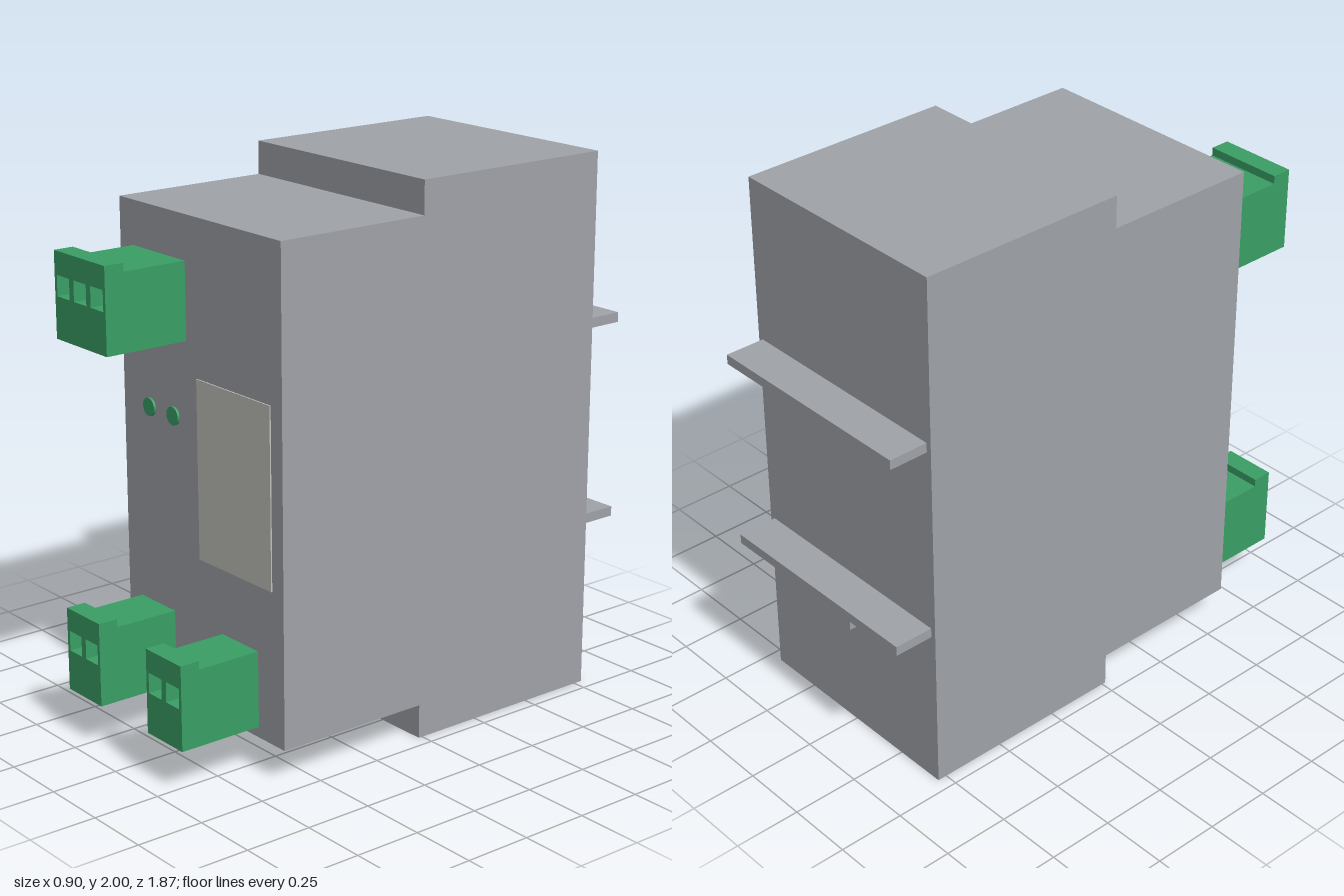
import * as THREE from 'three';

const mat = (name, color) => {
  const m = new THREE.MeshStandardMaterial({ color });
  m.name = name;
  return m;
};

export function createModel() {
  const housingGrey = mat('housing grey', 0xa0a3a8);
  const green = mat('terminal green', 0x3a9f66);
  const labelGrey = mat('label off-white', 0xc2c2bd);
  const metal = mat('screw metal', 0xa8a8a8);

  const model = new THREE.Group();
  model.name = 'dinRailModule';

  const add = (parent, name, geometry, material) => {
    const mesh = new THREE.Mesh(geometry, material);
    mesh.name = name;
    parent.add(mesh);
    return mesh;
  };
  // Box given by its minimum and maximum on each axis
  const box = (parent, name, material, [x0, x1], [y0, y1], [z0, z1]) => {
    const mesh = add(parent, name, new THREE.BoxGeometry(x1 - x0, y1 - y0, z1 - z0), material);
    mesh.position.set((x0 + x1) / 2, (y0 + y1) / 2, (z0 + z1) / 2);
    return mesh;
  };
  // Slab with a row of square holes, extruded along +z
  const slab = (w, h, depth, centres, v, half) => {
    const s = new THREE.Shape([[0, 0], [w, 0], [w, h], [0, h]].map(p => new THREE.Vector2(...p)));
    for (const u of centres) {
      s.holes.push(new THREE.Path([[-1, -1], [-1, 1], [1, 1], [1, -1]]
        .map(([a, b]) => new THREE.Vector2(u + a * half, v + b * half))));
    }
    return new THREE.ExtrudeGeometry(s, { depth, bevelEnabled: false });
  };
  // Round part facing +z
  const disc = (parent, name, material, r, depth, x, y, z) => {
    const mesh = add(parent, name, new THREE.CylinderGeometry(r, r, depth, 20).rotateX(Math.PI / 2), material);
    mesh.position.set(x, y, z + depth / 2);
  };

  // Housing: stepped side profile extruded across the width
  const side = new THREE.Shape([
    [-0.785, 0], [0.015, 0], [0.015, 0.125], [0.615, 0.125],
    [0.615, 1.88], [0.015, 1.88], [0.015, 2], [-0.785, 2],
  ].map(([z, y]) => new THREE.Vector2(-z, y)));
  const body = new THREE.ExtrudeGeometry(side, { depth: 0.9, bevelEnabled: false });
  body.translate(0, 0, -0.45).rotateY(Math.PI / 2);
  add(model, 'housing', body, housingGrey);

  // Pluggable terminal blocks with screw wells in front and wire entries below
  const terminal = (name, x, y, poles) => {
    const g = new THREE.Group();
    g.name = name;
    g.position.set(x, y, 0);
    model.add(g);
    const w = poles * 0.1;
    const centres = Array.from({ length: poles }, (_, i) => 0.05 + i * 0.1);
    add(g, 'terminalFront', slab(w, 0.307, 0.075, centres, 0.187, 0.037), green).position.z = 0.86;
    box(g, 'terminalBody', green, [0, w], [0.06, 0.277], [0.615, 0.86]);
    const base = slab(w, 0.245, 0.06, centres, 0.045, 0.033);
    base.rotateX(Math.PI / 2).translate(0, 0.06, 0);
    base.rotateY(Math.PI).translate(w, 0, 0.86);
    add(g, 'terminalBase', base, green);
    for (const c of centres) {
      disc(g, 'terminalScrew', metal, 0.029, 0.02, c, 0.187, 0.86);
      box(g, 'wireClamp', metal, [c - 0.033, c + 0.033], [0.045, 0.06], [0.782, 0.848]);
    }
  };
  terminal('upperTerminal', -0.373, 1.444, 3);
  terminal('lowerRightTerminal', -0.373, 0.164, 2);
  terminal('lowerLeftTerminal', 0.108, 0.164, 2);

  // Front face details
  for (const x of [-0.293, -0.153]) disc(model, 'indicatorLight', green, 0.033, 0.009, x, 1.163, 0.615);
  box(model, 'frontLabel', labelGrey, [-0.013, 0.39], [0.68, 1.325], [0.615, 0.62]);

  // Rail mounting ledges and release clip on the back
  for (const y of [0.615, 1.355]) box(model, 'railLedge', housingGrey, [-0.43, 0.43], [y, y + 0.036], [-0.935, -0.785]);
  box(model, 'railClip', housingGrey, [-0.063, 0.063], [0.465, 0.615], [-0.845, -0.785]);

  return model;
}
